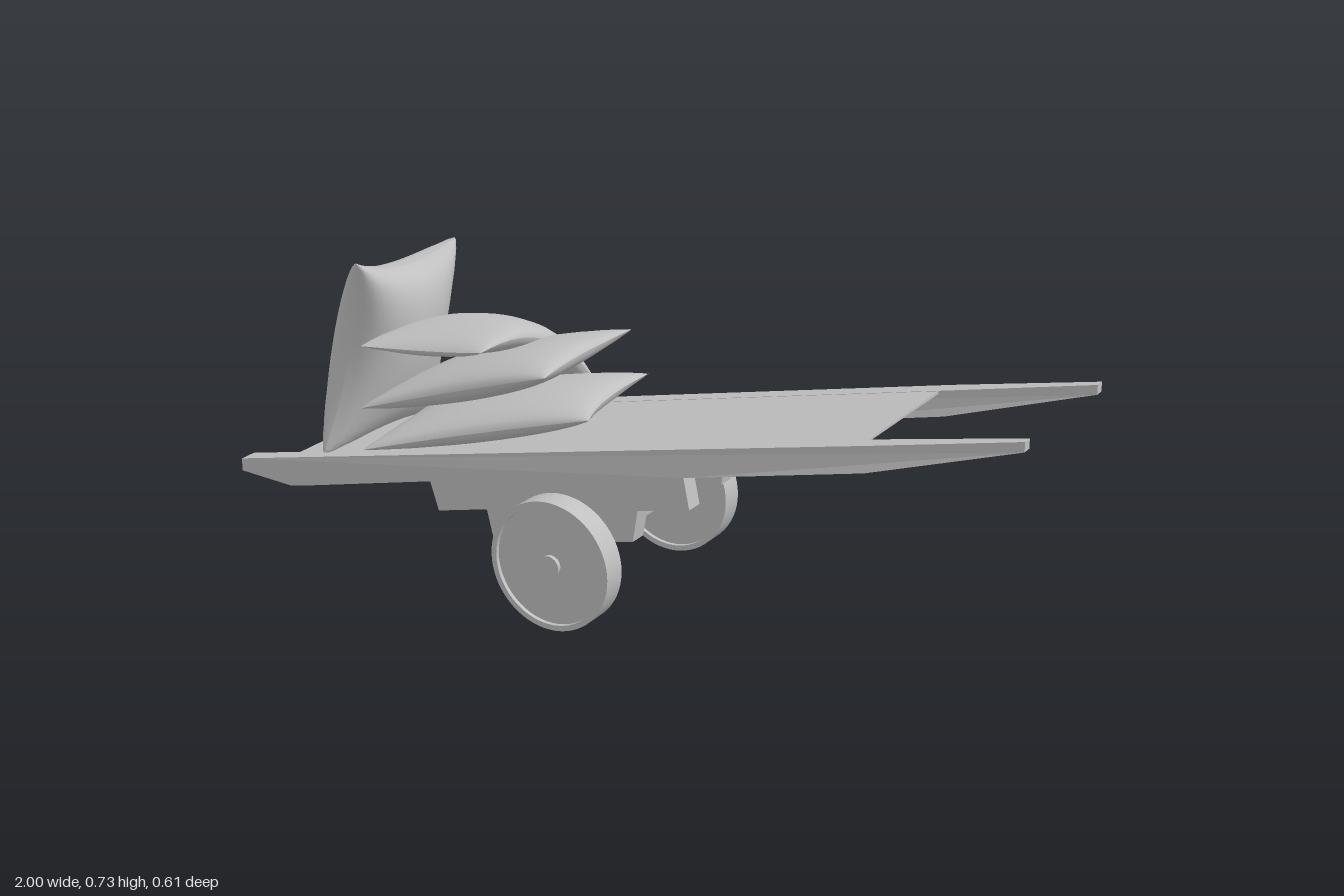
import * as THREE from 'three';

const grey = new THREE.MeshStandardMaterial({ color: 0xc0c0c0 });
grey.name = 'plain grey';
const MID_Z = 0.0075;

function add(parent, name, geometry, x = 0, y = 0, z = 0) {
  const mesh = new THREE.Mesh(geometry, grey);
  mesh.name = name;
  mesh.position.set(x, y, z);
  parent.add(mesh);
  return mesh;
}

function extrude(points, depth) {
  const shape = new THREE.Shape(points.map(([x, y]) => new THREE.Vector2(x, y)));
  return new THREE.ExtrudeGeometry(shape, { depth, bevelEnabled: false }).translate(0, 0, -depth / 2);
}

// Side beam with stepped axle blocks below and a handle narrowing at the high end
function railGeometry() {
  const geometry = extrude([
    [-1, 0.205], [-1, 0.174], [-0.85, 0.164], [-0.82, 0.17],
    [-0.437, 0.258], [-0.415, 0.19], [-0.28, 0.221], [-0.262, 0.147],
    [-0.16, 0.168], [-0.15, 0.124], [-0.045, 0.146], [-0.055, 0.19],
    [0.108, 0.224], [0.12, 0.3], [0.25, 0.328], [0.235, 0.4],
    [0.66, 0.495], [1, 0.603], [1, 0.625], [0.66, 0.555],
  ], 0.045);
  const p = geometry.attributes.position;
  for (let i = 0; i < p.count; i++) {
    const t = Math.max(0, (p.getX(i) - 0.66) / 0.34);
    p.setZ(i, p.getZ(i) * (1 - 0.45 * t));
  }
  geometry.computeVertexNormals();
  return geometry;
}

// Wheel disc with a raised rim on both faces
function addWheel(parent, z, side) {
  const wheel = new THREE.Group();
  wheel.name = side > 0 ? 'frontWheel' : 'backWheel';
  wheel.position.set(-0.065, 0.154, z);
  parent.add(wheel);
  const ring = new THREE.Shape().absarc(0, 0, 0.153, 0, Math.PI * 2);
  ring.holes.push(new THREE.Path().absarc(0, 0, 0.14, 0, Math.PI * 2, true));
  const rim = new THREE.ExtrudeGeometry(ring, { depth: 0.06, bevelEnabled: false, curveSegments: 32 });
  // Smooth the curved walls radially
  const p = rim.attributes.position, n = rim.attributes.normal;
  for (let i = 0; i < p.count; i++) {
    if (Math.abs(n.getZ(i)) > 0.5) continue;
    const r = Math.hypot(p.getX(i), p.getY(i)), s = r > 0.147 ? 1 : -1;
    n.setXYZ(i, s * p.getX(i) / r, s * p.getY(i) / r, 0);
  }
  add(wheel, 'rim', rim.translate(0, 0, -0.03));
  add(wheel, 'disc', new THREE.CylinderGeometry(0.142, 0.142, 0.04, 48).rotateX(Math.PI / 2));
  add(wheel, 'hub', new THREE.CylinderGeometry(0.025, 0.025, 0.02, 16).rotateX(Math.PI / 2), 0, 0, side * 0.02);
}

// Stuffed sack: two bulging sheets sewn along edges that pull in between four corners
function sackGeometry({ corners, half, pinch = 0.12, sag = [0, 0, 0], fullness = 0.45 }) {
  const N = 18;
  const [a, b, c, d] = corners.map((q) => new THREE.Vector3(...q));
  const du = b.clone().sub(a).add(c).sub(d);
  const dv = d.clone().sub(a).add(c).sub(b);
  const normal = du.cross(dv).normalize();
  const bend = new THREE.Vector3(...sag);
  const positions = [], indices = [];
  for (const face of [1, -1]) {
    const base = positions.length / 3;
    for (let j = 0; j <= N; j++) {
      for (let i = 0; i <= N; i++) {
        const u = Math.sin((i / N - 0.5) * Math.PI), v = Math.sin((j / N - 0.5) * Math.PI);
        const s = (1 + u * (1 - pinch * (1 - v * v))) / 2;
        const t = (1 + v * (1 - pinch * 0.7 * (1 - u * u))) / 2;
        const puff = Math.pow(Math.max(0, (1 - u * u) * (1 - v * v)), fullness);
        const q = a.clone().lerp(b, s).lerp(d.clone().lerp(c, s), t);
        q.addScaledVector(bend, 1 - v * v).addScaledVector(normal, face * half * puff);
        positions.push(q.x, q.y, q.z);
        if (i === N || j === N) continue;
        const k = base + j * (N + 1) + i, up = k + N + 1;
        if (face > 0) indices.push(k, k + 1, up, k + 1, up + 1, up);
        else indices.push(k, up, k + 1, k + 1, up, up + 1);
      }
    }
  }
  const geometry = new THREE.BufferGeometry();
  geometry.setAttribute('position', new THREE.Float32BufferAttribute(positions, 3));
  geometry.setIndex(indices);
  geometry.computeVertexNormals();
  return geometry;
}

export function createModel() {
  const cart = new THREE.Group();
  cart.name = 'handcart';

  // Frame
  for (const side of [1, -1]) {
    add(cart, side > 0 ? 'frontRail' : 'backRail', railGeometry(), 0, 0, MID_Z + side * 0.2);
  }
  add(cart, 'deck', extrude([
    [-0.855, 0.228], [0.645, 0.545], [0.645, 0.551], [-0.855, 0.235],
  ], 0.355), 0, 0, MID_Z);

  // Running gear
  add(cart, 'axle', new THREE.CylinderGeometry(0.025, 0.025, 0.48, 20).rotateX(Math.PI / 2), -0.065, 0.155, MID_Z);
  for (const side of [1, -1]) addWheel(cart, MID_Z + side * 0.2675, side);

  // Load
  add(cart, 'lowerSack', sackGeometry({
    corners: [[-0.61, 0.31, 0.255], [-0.05, 0.455, 0.155], [-0.11, 0.45, -0.205], [-0.66, 0.32, -0.16]],
    half: 0.05, pinch: 0.1,
  }));
  add(cart, 'middleSack', sackGeometry({
    corners: [[-0.66, 0.385, 0.195], [-0.14, 0.55, 0.195], [-0.135, 0.565, -0.17], [-0.65, 0.39, -0.18]],
    half: 0.05, pinch: 0.1,
  }));
  add(cart, 'drapedSack', sackGeometry({
    corners: [[-0.65, 0.54, 0.195], [-0.31, 0.58, 0.195], [-0.265, 0.31, -0.275], [-0.615, 0.29, -0.305]],
    half: 0.05, pinch: 0.08, sag: [0, 0.08, -0.06],
  }));
  add(cart, 'uprightSack', sackGeometry({
    corners: [[-0.77, 0.25, 0.2], [-0.73, 0.25, -0.17], [-0.65, 0.71, -0.195], [-0.66, 0.735, 0.185]],
    half: 0.115, pinch: 0.24, sag: [-0.01, 0, 0], fullness: 0.4,
  }));
  return cart;
}
